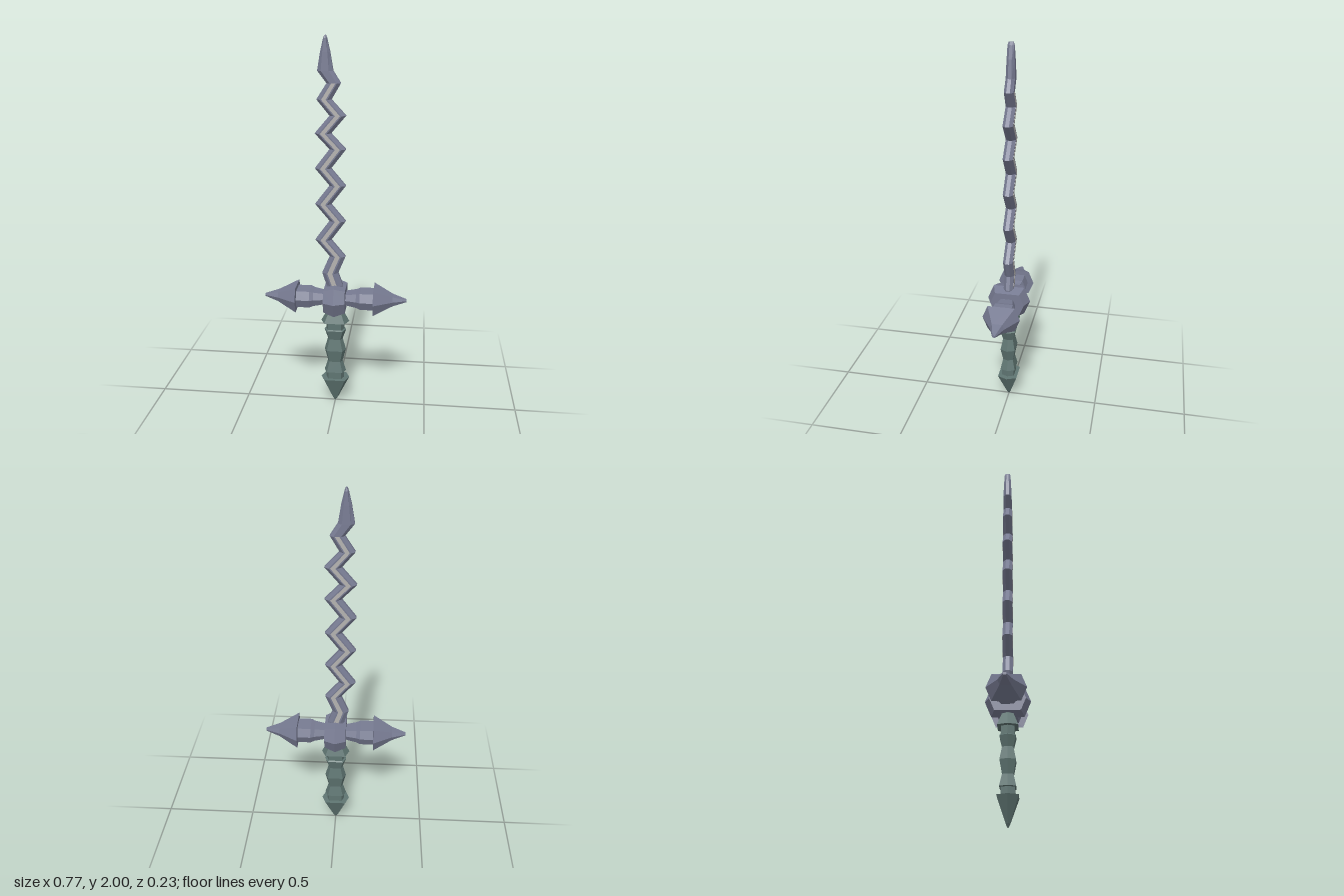
import * as THREE from 'three';

const steel = new THREE.MeshStandardMaterial({ color: 0x777b92, flatShading: true });
const paleSteel = new THREE.MeshStandardMaterial({ color: 0xb4b2b0, flatShading: true });
const gripGreen = new THREE.MeshStandardMaterial({ color: 0x5f7572, flatShading: true });

// Flattened hexagon of radius r, as [wide, thin] pairs
const hex = (r) => [[1, 0], [0.72, -0.68], [-0.72, -0.68], [-1, 0], [-0.72, 0.68], [0.72, 0.68]]
  .map(([a, b]) => [a * r, b * r]);

// Skin a row of rings with flat faces and closed ends
function loft(name, rings, material) {
  const pos = [];
  const tri = (...pts) => pts.forEach((p) => pos.push(...p));
  const n = rings[0].length, last = rings[rings.length - 1];
  for (let i = 0; i < rings.length - 1; i++) {
    const lo = rings[i], hi = rings[i + 1];
    for (let k = 0; k < n; k++) {
      const m = (k + 1) % n;
      tri(lo[k], lo[m], hi[m]);
      tri(lo[k], hi[m], hi[k]);
    }
  }
  for (let k = 1; k < n - 1; k++) {
    tri(rings[0][0], rings[0][k + 1], rings[0][k]);
    tri(last[0], last[k], last[k + 1]);
  }
  const geo = new THREE.BufferGeometry();
  geo.setAttribute('position', new THREE.Float32BufferAttribute(pos, 3));
  geo.computeVertexNormals();
  const mesh = new THREE.Mesh(geo, material);
  mesh.name = name;
  return mesh;
}

// Hexagonal parts turned along y (wide in x) or along x (wide in z)
const alongY = (name, profile, mat) => loft(name,
  profile.map(([y, r]) => hex(r).map(([a, b]) => [a, y, b])), mat);
const GUARD_Y = 0.625;
const alongX = (name, profile, mat) => loft(name,
  profile.map(([x, r]) => hex(r).map(([a, b]) => [x, GUARD_Y + b, a])), mat);

// Wavy blade stations: height, centre x, half width, half thickness
function bladeStations() {
  const s = [[0.66, -0.002, 0.044, 0.026], [0.7, -0.003, 0.044, 0.026], [0.77, -0.027, 0.043, 0.026]];
  [0.865, 0.955, 1.06, 1.15, 1.25, 1.34, 1.44, 1.52, 1.61].forEach((y, i) =>
    s.push([y, i % 2 ? -0.063 : 0.013, 0.042, 0.026]));
  s.push([1.69, -0.057, 0.038, 0.025], [1.77, -0.008, 0.036, 0.024], [1.83, -0.05, 0.04, 0.023],
    [1.92, -0.05, 0.025, 0.02], [1.985, -0.05, 0.01, 0.017], [2, -0.05, 0.004, 0.012]);
  return s;
}

export function createModel() {
  const model = new THREE.Group();

  // Blade: bevelled wavy bar with a pale strip down both faces
  const stations = bladeStations();
  const blade = new THREE.Group();
  blade.name = 'blade';
  blade.add(loft('bladeBody', stations.map(([y, c, w, d]) => {
    const f = w * 0.5, e = d * 0.38;
    return [[w, e], [w, -e], [f, -d], [-f, -d], [-w, -e], [-w, e], [-f, d], [f, d]]
      .map(([a, b]) => [c + a, y, b]);
  }), steel));
  blade.add(loft('bladeStrip', stations.slice(0, -4).map(([y, c, w, d]) => {
    const h = w * 0.3, t = d + 0.001;
    return [[h, t], [h, -t], [-h, -t], [-h, t]].map(([a, b]) => [c + a, y, b]);
  }), paleSteel));
  model.add(blade);

  // Crossguard: faceted hub and two arrow-headed arms
  const guard = new THREE.Group();
  guard.name = 'crossguard';
  guard.add(alongX('guardHub', [[-0.058, 0.092], [0, 0.117], [0.058, 0.092]], steel));
  const arm = [[0.03, 0.045], [0.06, 0.045], [0.115, 0.057], [0.136, 0.067], [0.207, 0.067],
    [0.208, 0.1], [0.31, 0.038], [0.385, 0.009]];
  guard.add(alongX('leftGuardArm', arm, steel));
  guard.add(alongX('rightGuardArm', arm.map(([x, r]) => [-x, r]).reverse(), steel));
  model.add(guard);

  // Grip: waisted handle with a flared collar
  model.add(alongY('grip', [[0.14, 0.05], [0.187, 0.05], [0.19, 0.06], [0.25, 0.041], [0.32, 0.059],
    [0.385, 0.041], [0.44, 0.06], [0.445, 0.05], [0.5, 0.05]], gripGreen));
  model.add(alongY('gripCollar', [[0.489, 0.05], [0.49, 0.077], [0.555, 0.042], [0.6, 0.042]], gripGreen));

  // Pommel: pointed spike
  model.add(alongY('pommel', [[0, 0.003], [0.02, 0.016], [0.147, 0.078], [0.148, 0.05]], gripGreen));

  return model;
}
